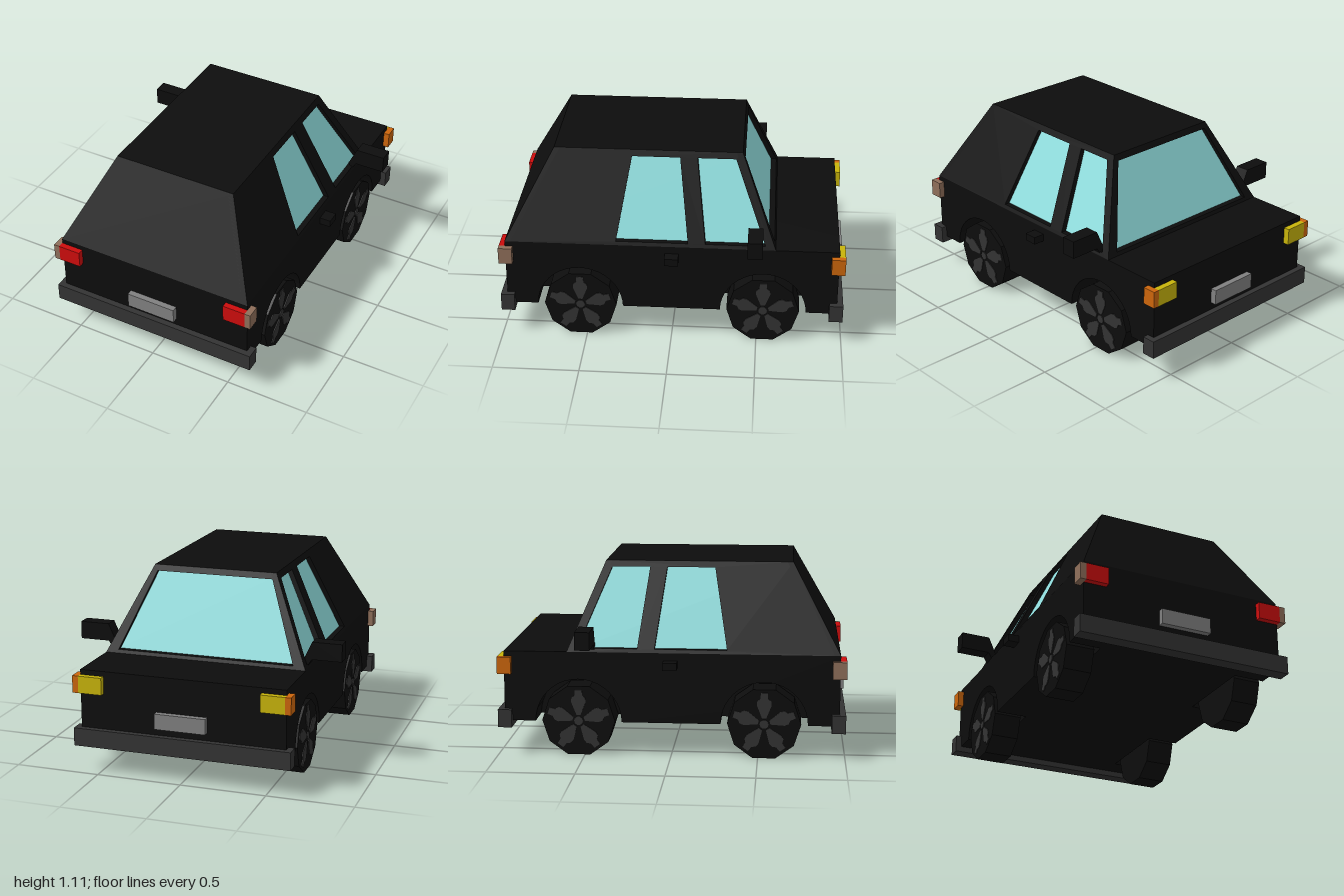
import * as THREE from 'three';

const paint = (name, color) => Object.assign(new THREE.MeshStandardMaterial({ color }), { name });

export function createModel() {
  const car = new THREE.Group();
  car.name = 'car';
  const black = paint('black paint', 0x0d0d0d);
  const grey = paint('dark grey trim', 0x333333);
  const glass = paint('window glass', 0x90dede);
  const silver = paint('plate grey', 0x808080);
  const red = paint('tail light red', 0xcc0c0c);
  const brown = paint('rear marker brown', 0x8f6f5a);
  const yellow = paint('headlight yellow', 0xc8b40a);
  const orange = paint('indicator orange', 0xcc660c);

  const add = (name, geo, mat) => {
    const m = new THREE.Mesh(geo, mat);
    m.name = name;
    car.add(m);
    return m;
  };
  // box given by its extents
  const box = (name, mat, x0, x1, y0, y1, z0, z1) => {
    const g = new THREE.BoxGeometry(Math.abs(x1 - x0), y1 - y0, z1 - z0);
    g.translate((x0 + x1) / 2, (y0 + y1) / 2, (z0 + z1) / 2);
    return add(name, g, mat);
  };
  const shapeOf = (pts, holes = []) => {
    const s = new THREE.Shape(pts.map(p => new THREE.Vector2(...p)));
    s.holes = holes.map(h => new THREE.Path(h.map(p => new THREE.Vector2(...p))));
    return s;
  };
  const extrude = (pts, holes, depth) =>
    new THREE.ExtrudeGeometry(shapeOf(pts, holes), { depth, bevelEnabled: false });
  // move vertices by a rule, then refresh the flat normals
  const warp = (g, rule) => {
    const p = g.attributes.position;
    for (let i = 0; i < p.count; i++) p.setXYZ(i, ...rule(p.getX(i), p.getY(i), p.getZ(i)));
    g.computeVertexNormals();
    return g;
  };
  const BELT = 0.61;
  // panel drawn in [z, y], facing sideways, leaning inwards above the belt line
  const sidePanel = (name, mat, side, pts, holes, outer, depth, lean = 0) => {
    const flip = list => list.map(([z, y]) => [-z, y]);
    const g = extrude(flip(pts), holes.map(flip), depth).rotateY(Math.PI / 2);
    const x0 = side > 0 ? outer - depth : -outer;
    return add(name, warp(g, (x, y, z) => [x + x0 - side * lean * (y - BELT), y, z]), mat);
  };
  // block with separate bottom and top rectangles: [halfWidth, zMin, zMax, y]
  const taper = (name, mat, b, t) => {
    const g = new THREE.BoxGeometry(1, 1, 1).toNonIndexed();
    return add(name, warp(g, (x, y, z) => {
      const [w, z0, z1, h] = y > 0 ? t : b;
      return [x > 0 ? w : -w, h, z > 0 ? z1 : z0];
    }), mat);
  };

  // lower body with open wheel arches
  const axles = [0.535, -0.535], axleY = 0.205;
  box('bodyCore', black, -0.42, 0.42, 0.2, BELT, -0.965, 0.965);
  const sill = [[-0.965, BELT], [0.965, BELT], [0.965, 0.2]];
  for (const az of axles) {
    for (let i = 0; i <= 20; i++) {
      const a = Math.PI * i / 20;
      sill.push([az + 0.25 * Math.cos(a), 0.2 + 0.25 * Math.sin(a)]);
    }
  }
  sill.push([-0.965, 0.2]);

  // cabin: shell panels around an inset glass block
  const cabin = [[0.965, BELT], [-0.6, BELT], [-0.395, 1.11], [0.69, 1.11]];
  const sideWindows = [
    [[0.32, 0.63], [-0.095, 0.63], [-0.037, 1.075], [0.24, 1.075]],
    [[-0.195, 0.63], [-0.54, 0.63], [-0.357, 1.075], [-0.137, 1.075]],
  ];
  const crossSection = [[-0.605, BELT], [0.605, BELT], [0.37, 1.11], [-0.37, 1.11]];
  const windscreen = [[-0.53, 0.63], [0.53, 0.63], [0.35, 1.075], [-0.35, 1.075]];
  taper('cabinGlass', glass, [0.572, -0.566, 0.93, BELT], [0.354, -0.376, 0.67, 1.08]);
  taper('roof', black, [0.384, -0.407, 0.706, 1.08], [0.37, -0.395, 0.69, 1.11]);
  add('windscreenFrame', warp(extrude(crossSection, [windscreen], 0.035),
    (x, y, z) => [x, y, z - 0.6 + 0.41 * (y - BELT)]), black);
  add('rearPanel', warp(extrude(crossSection, [], 0.035),
    (x, y, z) => [x, y, z + 0.93 - 0.55 * (y - BELT)]), black);

  for (const s of [1, -1]) {
    const label = s > 0 ? 'left' : 'right';
    sidePanel(label + 'BodySide', black, s, sill, [], 0.605, 0.185);
    sidePanel(label + 'CabinSide', black, s, cabin, sideWindows, 0.605, 0.035, 0.47);

    // door mirror on a slanted stalk, and door handle
    const mirror = [[0.795, 0.76], [0.62, 0.76], [0.57, 0.65], [0.59, 0.61], [0.62, 0.657], [0.795, 0.657]];
    add(label + 'Mirror', extrude(mirror.map(([x, y]) => [s * x, y]), [], 0.085).translate(0, 0, -0.525), black);
    box(label + 'DoorHandle', black, s * 0.6, s * 0.672, 0.522, 0.566, -0.043, 0.037);

    // lamps with corner markers
    box(label + 'TailLight', red, s * 0.47, s * 0.605, 0.48, 0.58, 0.96, 1);
    box(label + 'RearMarker', brown, s * 0.605, s * 0.64, 0.48, 0.58, 0.92, 1);
    box(label + 'Headlight', yellow, s * 0.465, s * 0.605, 0.48, 0.58, -1, -0.96);
    box(label + 'Indicator', orange, s * 0.605, s * 0.64, 0.48, 0.58, -1, -0.92);

    // ten-sided tyres with five-spoke rims
    for (const az of axles) {
      const tyre = new THREE.CylinderGeometry(0.212, 0.212, 0.165, 10).toNonIndexed();
      tyre.rotateZ(Math.PI / 2).translate(s * 0.522, axleY, az);
      tyre.computeVertexNormals();
      add(label + 'Tyre', tyre, black);
      const hub = new THREE.CylinderGeometry(0.026, 0.026, 0.012, 10);
      add(label + 'Hub', hub.rotateZ(Math.PI / 2).translate(s * 0.604, axleY, az), grey);
      for (let k = 0; k < 5; k++) {
        const a = k * Math.PI * 2 / 5, c = Math.cos(a), n = Math.sin(a);
        const spoke = [[-0.012, 0.035], [0.012, 0.035], [0.042, 0.11], [0.04, 0.135], [0.022, 0.15],
          [0.02, 0.183], [-0.02, 0.183], [-0.022, 0.15], [-0.04, 0.135], [-0.042, 0.11]]
          .map(([u, r]) => [az + u * c - r * n, axleY + u * n + r * c]);
        sidePanel(label + 'Spoke', grey, s, spoke, [], 0.609, 0.01);
      }
    }
  }

  // bumpers and blank plates at both ends
  for (const [end, sign] of [['rear', 1], ['front', -1]]) {
    const span = (a, b) => sign > 0 ? [a, b] : [-b, -a];
    box(end + 'Bumper', grey, -0.64, 0.64, 0.165, 0.27, ...span(0.92, 1));
    box(end + 'Plate', silver, -0.15, 0.15, 0.315, 0.405, ...span(0.96, 1));
  }
  return car;
}
